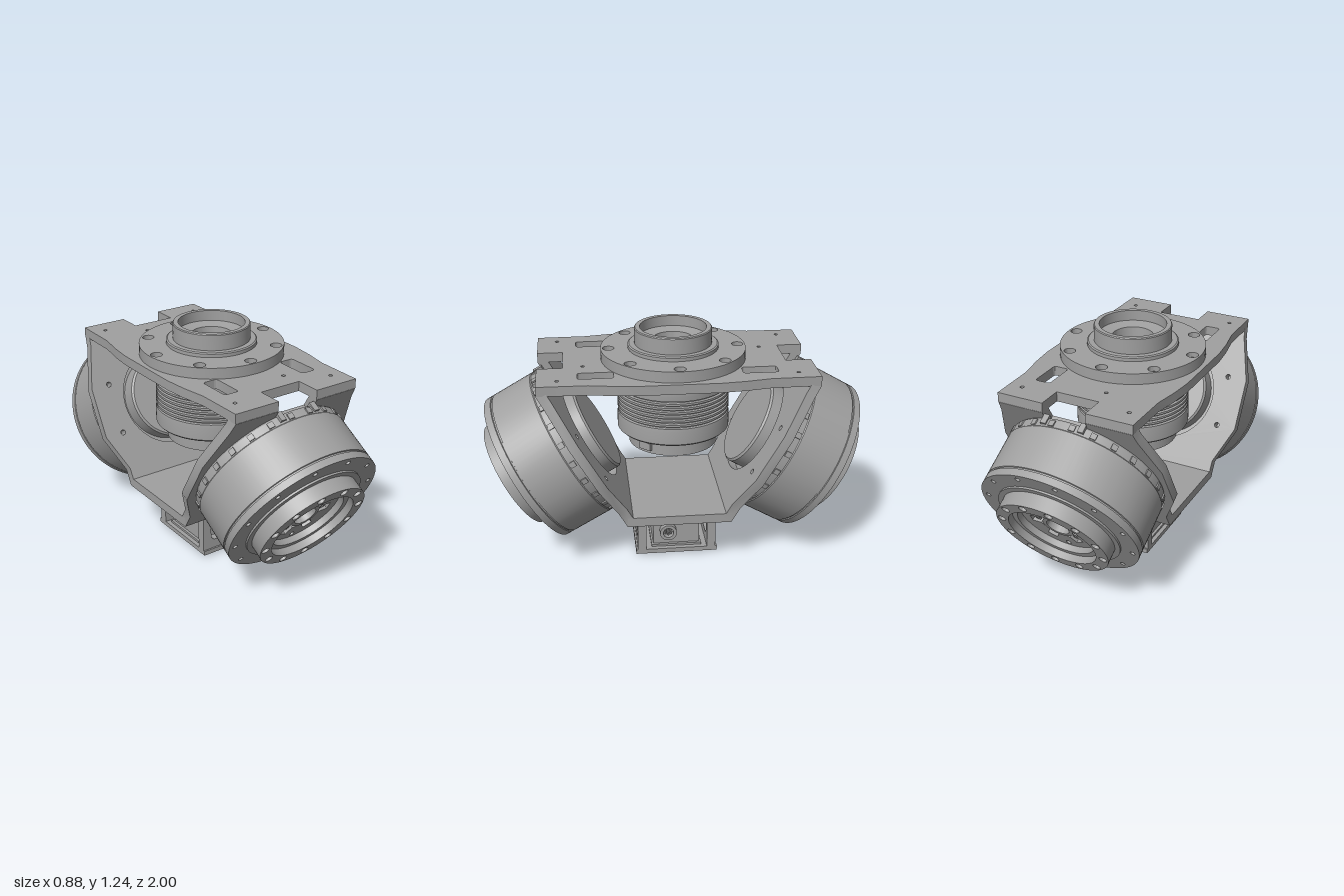
import * as THREE from 'three';
import { toCreasedNormals } from 'three/addons/utils/BufferGeometryUtils.js';

const metal = new THREE.MeshStandardMaterial({ color: 0xa0a0a0 });
metal.name = 'machinedGrey';

function add(parent, name, geo, x = 0, y = 0, z = 0) {
  const m = new THREE.Mesh(geo, metal);
  m.name = name;
  m.position.set(x, y, z);
  parent.add(m);
  return m;
}
const box = (p, name, w, h, d, x, y, z) => add(p, name, new THREE.BoxGeometry(w, h, d), x, y, z);
const lathe = (pts) => toCreasedNormals(
  new THREE.LatheGeometry(pts.map(([r, y]) => new THREE.Vector2(r, y)), 80), 0.5);
const extrude = (shape, depth) => toCreasedNormals(
  new THREE.ExtrudeGeometry(shape, { depth, bevelEnabled: false, curveSegments: 40 }), 0.5);
const polygon = (pts) => new THREE.Shape(pts.map(([x, y]) => new THREE.Vector2(x, y)));

function circle(r, x = 0, y = 0, Type = THREE.Path) {
  const c = new Type();
  c.absarc(x, y, r, 0, Math.PI * 2, false);
  return c;
}
function roundedSlot(cx, cy, w, h, r) {
  const p = new THREE.Path(), x = w / 2 - r, y = h / 2 - r;
  p.absarc(cx + x, cy + y, r, 0, Math.PI / 2);
  p.absarc(cx - x, cy + y, r, Math.PI / 2, Math.PI);
  p.absarc(cx - x, cy - y, r, Math.PI, Math.PI * 1.5);
  p.absarc(cx + x, cy - y, r, Math.PI * 1.5, Math.PI * 2);
  p.closePath();
  return p;
}
// Points evenly spaced on a circle
const around = (n, r, start = 0) => Array.from({ length: n }, (_, i) => {
  const a = start + i * Math.PI * 2 / n;
  return [Math.cos(a) * r, Math.sin(a) * r, a];
});
// Flat ring with a circle of bolt holes
function ring(outer, inner, depth, bolts = [], holeR = 0.013) {
  const s = circle(outer, 0, 0, THREE.Shape);
  s.holes.push(circle(inner), ...bolts.map(([x, y]) => circle(holeR, x, y)));
  return extrude(s, depth);
}

// Tilted actuator and its mounting plate; local z is the actuator axis
function createArm() {
  const arm = new THREE.Group();
  arm.position.set(0, 0.693, 0.4);
  arm.rotation.x = Math.PI / 6;

  // Mounting plate, notched at the top for the cable
  const half = [[0.115, 0.435], [0.36, 0.435], [0.37, 0.37], [0.44, 0.135], [0.44, -0.14], [0.355, -0.34], [0.355, -0.43]];
  const plate = polygon([[0.115, 0.34], ...half, ...half.map(([x, y]) => [-x, y]).reverse(), [-0.115, 0.34]]);
  plate.holes.push(circle(0.27), ...around(8, 0.36, Math.PI / 8)
    .filter(([, y]) => Math.abs(y) < 0.3).map(([x, y]) => circle(0.014, x, y)));
  add(arm, 'mountingPlate', extrude(plate, 0.05), 0, 0, 0.05);

  // Housing with seam groove and rear drum
  const body = lathe([[0, 0], [0.23, 0], [0.24, 0.01], [0.24, 0.101], [0.41, 0.101], [0.416, 0.11],
    [0.416, 0.15], [0.42, 0.155], [0.42, 0.385], [0.414, 0.387], [0.414, 0.394], [0.42, 0.396], [0.42, 0.41], [0, 0.41]]);
  add(arm, 'housing', body).rotation.x = Math.PI / 2;
  for (const [x, y, a] of around(24, 0.415, Math.PI / 24)) {
    const tab = box(arm, 'rearTab', 0.014, 0.03, 0.03, x, y, 0.13);
    tab.rotation.z = a;
  }
  for (const s of [-1, 1]) box(arm, 'cableClip', 0.03, 0.05, 0.05, s * 0.1, 0.39, 0.115);

  // Output flange, step and raised bolt ring
  add(arm, 'outerFlange', ring(0.42, 0.3, 0.024, around(12, 0.385, Math.PI / 12)), 0, 0, 0.41);
  add(arm, 'flangeStep', ring(0.325, 0.29, 0.012), 0, 0, 0.432);
  const bolts = around(12, 0.268, Math.PI / 12);
  add(arm, 'boltRing', ring(0.297, 0.232, 0.11, bolts, 0.021), 0, 0, 0.41);
  for (const [x, y] of bolts) {
    add(arm, 'ringScrew', ring(0.018, 0.009, 0.095), x, y, 0.41);
  }
  add(arm, 'innerStep', ring(0.234, 0.203, 0.07), 0, 0, 0.41);

  // Recessed hub plate with six radial pockets
  const star = [];
  for (let i = 0; i < 6; i++) {
    for (const [r, w] of [[0.105, -0.025], [0.155, -0.025], [0.155, 0.025], [0.105, 0.025]]) {
      const a = i * Math.PI / 3;
      star.push(new THREE.Vector2(r * Math.cos(a) - w * Math.sin(a), r * Math.sin(a) + w * Math.cos(a)));
    }
  }
  const hub = circle(0.204, 0, 0, THREE.Shape);
  hub.holes.push(new THREE.Path(star), ...around(3, 0.177, Math.PI / 6).map(([x, y]) => circle(0.014, x, y)));
  add(arm, 'hubPlate', extrude(hub, 0.035), 0, 0, 0.41);
  add(arm, 'hubCollar', ring(0.08, 0.06, 0.045), 0, 0, 0.41);
  const halfDisc = new THREE.Shape();
  halfDisc.absarc(0, 0, 0.045, Math.PI * 1.15, Math.PI * 2.15);
  add(arm, 'encoderHalfDisc', extrude(halfDisc, 0.015), 0, 0, 0.41);
  for (const [x, y] of around(6, 0.12)) add(arm, 'hubScrew', ring(0.017, 0.008, 0.025), x, y, 0.41);
  return arm;
}

// Horizontal plates of the frame
function createFrame() {
  const g = new THREE.Group();
  const q = [[0.4, 0.2], [0.388, 0.32], [0.365, 0.45], [0.362, 0.703], [0.115, 0.703], [0.115, 0.57]];
  const rev = [...q].reverse();
  const top = polygon([...q, ...rev.map(([x, z]) => [-x, z]), ...q.map(([x, z]) => [-x, -z]), ...rev.map(([x, z]) => [x, -z])]);
  for (const [x, z] of [[-0.235, 0.41], [0.235, 0.41], [0.235, -0.415]]) top.holes.push(roundedSlot(x, z, 0.08, 0.18, 0.015));
  for (const [x, z] of [[-0.29, 0.6], [0.29, 0.6], [-0.29, -0.6], [0.29, -0.6], [0.1, 0.47], [-0.1, -0.47]]) top.holes.push(circle(0.01, x, z));
  const plate = extrude(top, 0.05);
  plate.rotateX(Math.PI / 2);
  add(g, 'topPlate', plate, 0, 1.07, 0);
  box(g, 'bottomPlate', 0.71, 0.05, 0.54, 0, 0.295, 0);
  return g;
}

// Vertical actuator hanging under the top plate
function createCentre() {
  const g = new THREE.Group();
  const ribs = [];
  for (let i = 0; i < 7; i++) {
    const y = 0.785 + i * 0.023;
    ribs.push([0.293, y], [0.28, y + 0.003], [0.28, y + 0.009], [0.293, y + 0.012]);
  }
  add(g, 'ribbedHousing', lathe([[0, 0.625], [0.17, 0.625], [0.17, 0.61], [0.235, 0.61], [0.235, 0.69], [0.285, 0.69],
    [0.295, 0.70], [0.295, 0.77], ...ribs, [0.295, 0.96], [0.295, 1.0], [0.285, 1.025], [0, 1.025]]));
  box(g, 'sensorPort', 0.02, 0.04, 0.07, 0.178, 0.65, 0.16).rotation.y = -0.74;

  const bolts = around(8, 0.335);
  const disc = ring(0.375, 0.2, 0.057, bolts, 0.03);
  disc.rotateX(-Math.PI / 2);
  add(g, 'topFlange', disc, 0, 1.07, 0);
  for (const [x, z] of bolts) {
    const screw = ring(0.021, 0.01, 0.035);
    screw.rotateX(-Math.PI / 2);
    add(g, 'flangeScrew', screw, x, 1.07, z);
  }
  add(g, 'topBoss', lathe([[0.235, 1.11], [0.235, 1.145], [0.228, 1.15], [0.2, 1.15], [0.2, 1.23], [0.196, 1.235],
    [0.172, 1.235], [0.172, 1.18], [0.105, 1.17], [0.1, 1.11], [0, 1.11]]));
  for (const [x, z] of around(5, 0.065, 0.3)) add(g, 'bossScrew', new THREE.CylinderGeometry(0.012, 0.012, 0.012, 16), x, 1.115, z);
  return g;
}

// Box bracket beneath the frame
function createBracket() {
  const g = new THREE.Group();
  const base = polygon([[-0.2, -0.22], [0.2, -0.22], [0.2, 0.22], [-0.2, 0.22]]);
  base.holes.push(circle(0.05));
  const baseGeo = extrude(base, 0.025);
  baseGeo.rotateX(Math.PI / 2);
  add(g, 'bracketBase', baseGeo, 0, 0.035, 0);
  for (const s of [-1, 1]) {
    const wall = polygon([[-0.2, 0.035], [0.2, 0.035], [0.2, 0.27], [-0.2, 0.27]]);
    wall.holes.push(roundedSlot(0, 0.155, 0.3, 0.14, 0.03));
    add(g, 'bracketWall', extrude(wall, 0.046), 0, 0, s * 0.188 - 0.023);
    box(g, 'bracketTab', 0.4, 0.026, 0.1, 0, 0.257, s * 0.165);
    for (const x of [-0.08, 0.08]) {
      add(g, 'baseBolt', new THREE.CylinderGeometry(0.016, 0.016, 0.012, 16), x, 0.006, s * 0.19);
    }
  }
  box(g, 'connectorBlock', 0.33, 0.15, 0.25, 0, 0.12, 0);
  box(g, 'connectorFoot', 0.36, 0.012, 0.27, 0, 0.045, 0);
  // Round plug on the left face
  const plug = add(g, 'plugRing', ring(0.045, 0.028, 0.04), 0.16, 0.13, 0.045);
  plug.rotation.y = Math.PI / 2;
  for (const [y, z] of around(6, 0.015)) {
    add(g, 'plugPin', new THREE.CylinderGeometry(0.005, 0.005, 0.03, 8), 0.175, 0.13 + y, 0.045 + z).rotation.z = Math.PI / 2;
  }
  return g;
}

export function createModel() {
  const model = new THREE.Group();
  model.name = 'tripleActuatorJoint';
  const parts = { frame: createFrame(), centreActuator: createCentre(), bracket: createBracket() };
  for (const [name, part] of Object.entries(parts)) {
    part.name = name;
    model.add(part);
  }
  ['frontActuator', 'backActuator'].forEach((name, i) => {
    const side = new THREE.Group();
    side.name = name;
    side.rotation.y = i * Math.PI;
    side.add(createArm());
    model.add(side);
  });
  return model;
}
